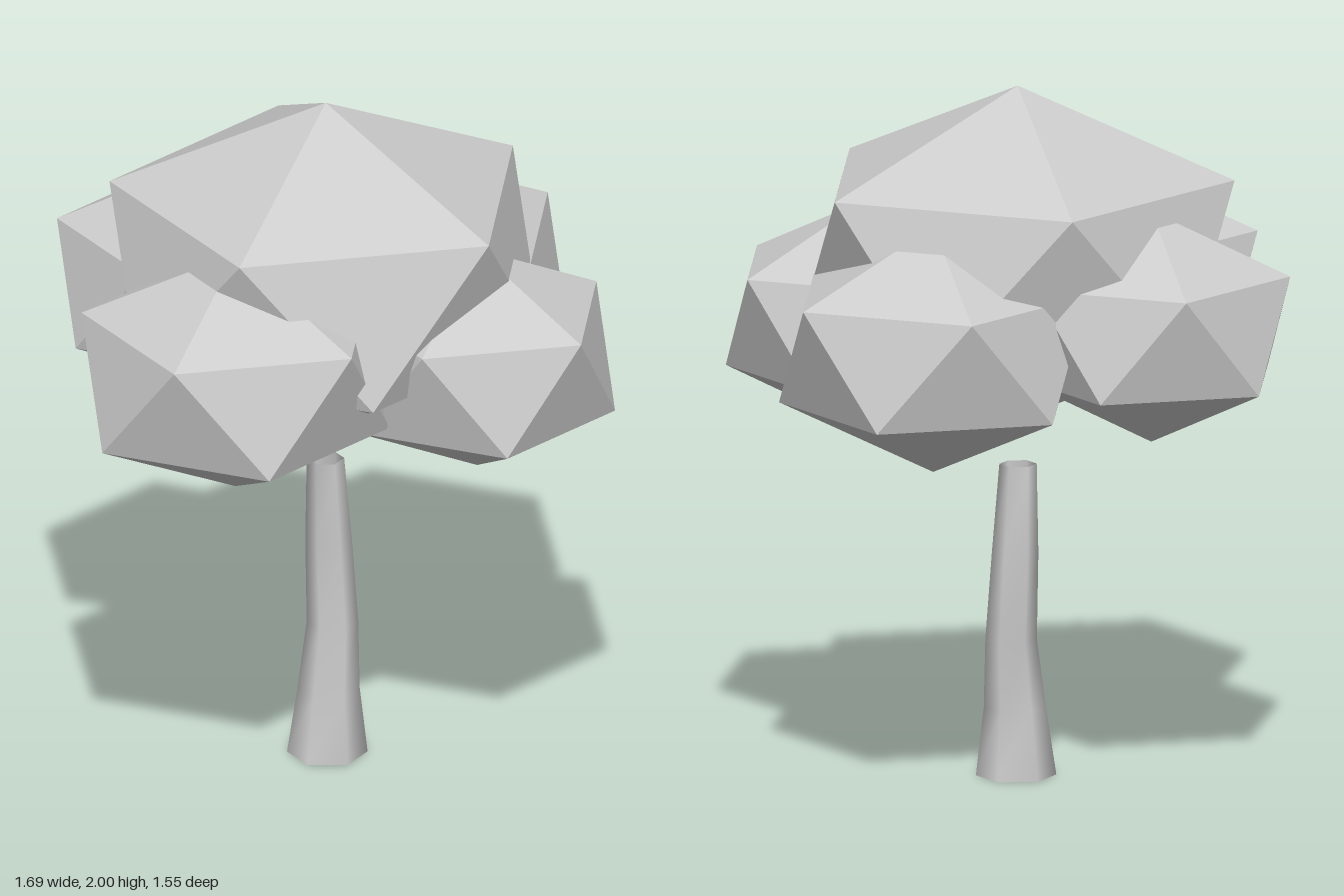
import * as THREE from 'three';
import { ConvexGeometry } from 'three/addons/geometries/ConvexGeometry.js';
import { mergeVertices } from 'three/addons/utils/BufferGeometryUtils.js';

const grey = new THREE.MeshStandardMaterial({ color: 0xcccccc, side: THREE.DoubleSide });
grey.name = 'lightGrey';

// Flattened icosahedron standing on a corner: ring = ring radius, half = half height
function leafClump(name, x, y, z, ring, half) {
  const points = [new THREE.Vector3(0, half, 0), new THREE.Vector3(0, -half, 0)];
  const level = half / Math.sqrt(5);
  for (let i = 0; i < 10; i++) {
    const a = (i * Math.PI) / 5;
    points.push(new THREE.Vector3(ring * Math.cos(a), i % 2 ? -level : level, ring * Math.sin(a)));
  }
  const mesh = new THREE.Mesh(new ConvexGeometry(points), grey);
  mesh.name = name;
  mesh.position.set(x, y, z);
  return mesh;
}

// Six-sided, open, smooth tube that tapers and bends through the given sections
function trunk() {
  // y, centre x, centre z, radius
  const sections = [
    [0.905, 0.005, 0.018, 0.053],
    [0.65, 0.02, 0.01, 0.066],
    [0.4, 0.027, 0.02, 0.073],
    [0.2, 0.01, 0.027, 0.088],
    [0.003, 0.007, 0.025, 0.114],
  ];
  const rows = sections.length - 1;
  let geo = new THREE.CylinderGeometry(1, 1, rows, 6, rows, true);
  const p = geo.attributes.position;
  for (let i = 0; i < p.count; i++) {
    const [y, cx, cz, r] = sections[Math.round(rows / 2 - p.getY(i))];
    p.setXYZ(i, cx + p.getX(i) * r, y, cz + p.getZ(i) * r);
  }
  geo.deleteAttribute('uv');
  geo.deleteAttribute('normal');
  geo = mergeVertices(geo);
  geo.computeVertexNormals();
  const mesh = new THREE.Mesh(geo, grey);
  mesh.name = 'trunk';
  return mesh;
}

export function createModel() {
  const tree = new THREE.Group();
  tree.name = 'tree';
  tree.add(
    trunk(),
    leafClump('crownClump', 0.005, 1.518, 0.02, 0.615, 0.482),
    leafClump('frontRightClump', -0.41, 1.341, 0.22, 0.438, 0.357),
    leafClump('frontLeftClump', 0.278, 1.297, 0.4, 0.392, 0.332),
    leafClump('backLeftClump', 0.404, 1.316, -0.16, 0.437, 0.355),
    leafClump('backRightClump', -0.172, 1.36, -0.405, 0.394, 0.334),
  );
  return tree;
}
